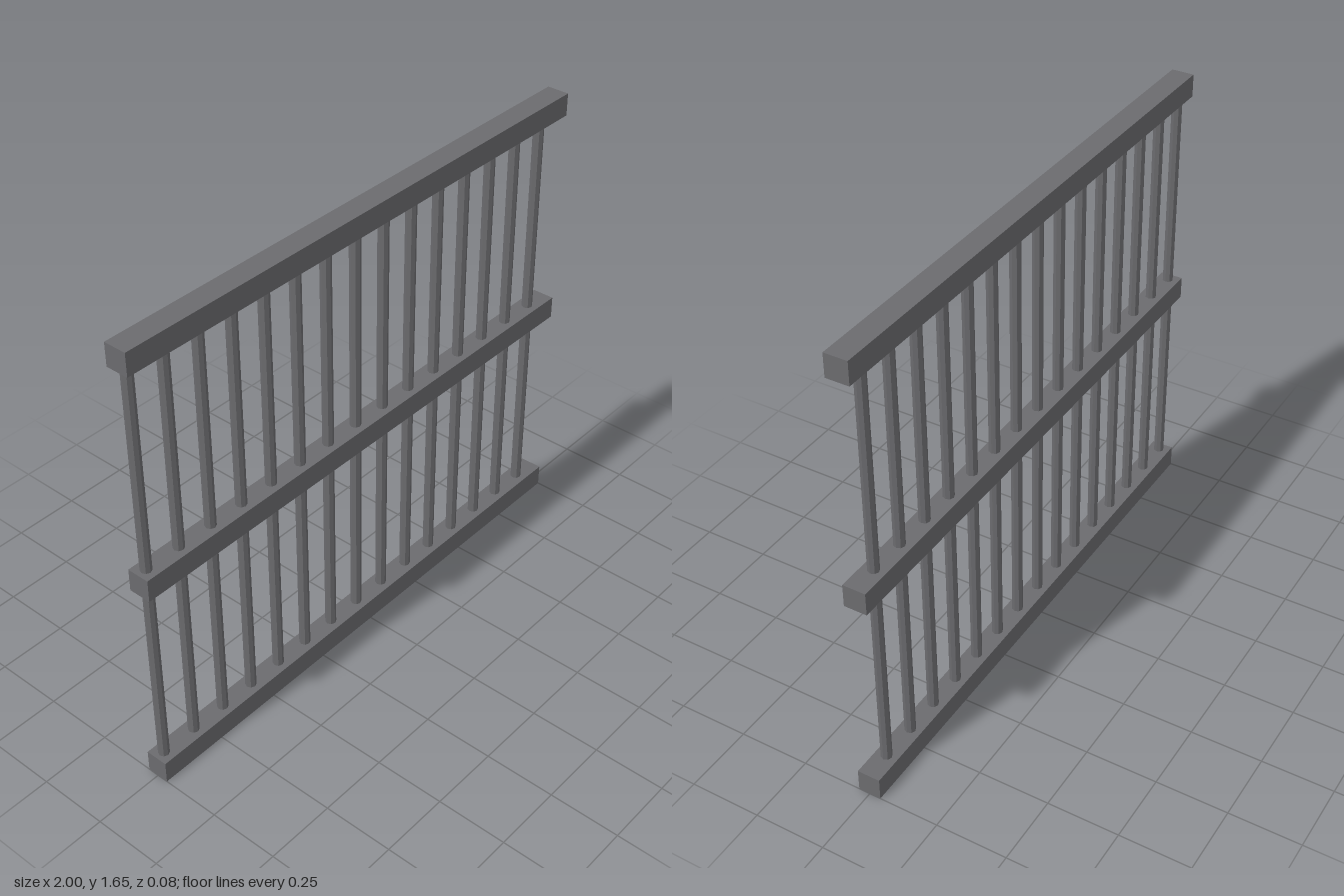
import * as THREE from 'three';

export function createModel() {
  const group = new THREE.Group();
  const iron = new THREE.MeshStandardMaterial({ color: 0x6b6b6e, flatShading: true });
  iron.name = 'darkGreyIron';

  const height = 1.65, rail = 0.08, barCount = 15, spacing = 2 / barCount;

  // Three horizontal square rails
  const railGeometry = new THREE.BoxGeometry(2, rail, rail);
  const rails = { bottomRail: rail / 2, middleRail: 0.81, topRail: height - rail / 2 };
  for (const [name, y] of Object.entries(rails)) {
    const mesh = new THREE.Mesh(railGeometry, iron);
    mesh.name = name;
    mesh.position.y = y;
    group.add(mesh);
  }

  // Upright round bars, offset slightly towards the right end
  const barGeometry = new THREE.CylinderGeometry(0.019, 0.019, height - rail, 8);
  for (let i = 0; i < barCount; i++) {
    const bar = new THREE.Mesh(barGeometry, iron);
    bar.name = `bar${i + 1}`;
    bar.position.set(-1 + spacing * (i + 0.25), height / 2, 0);
    group.add(bar);
  }

  return group;
}
